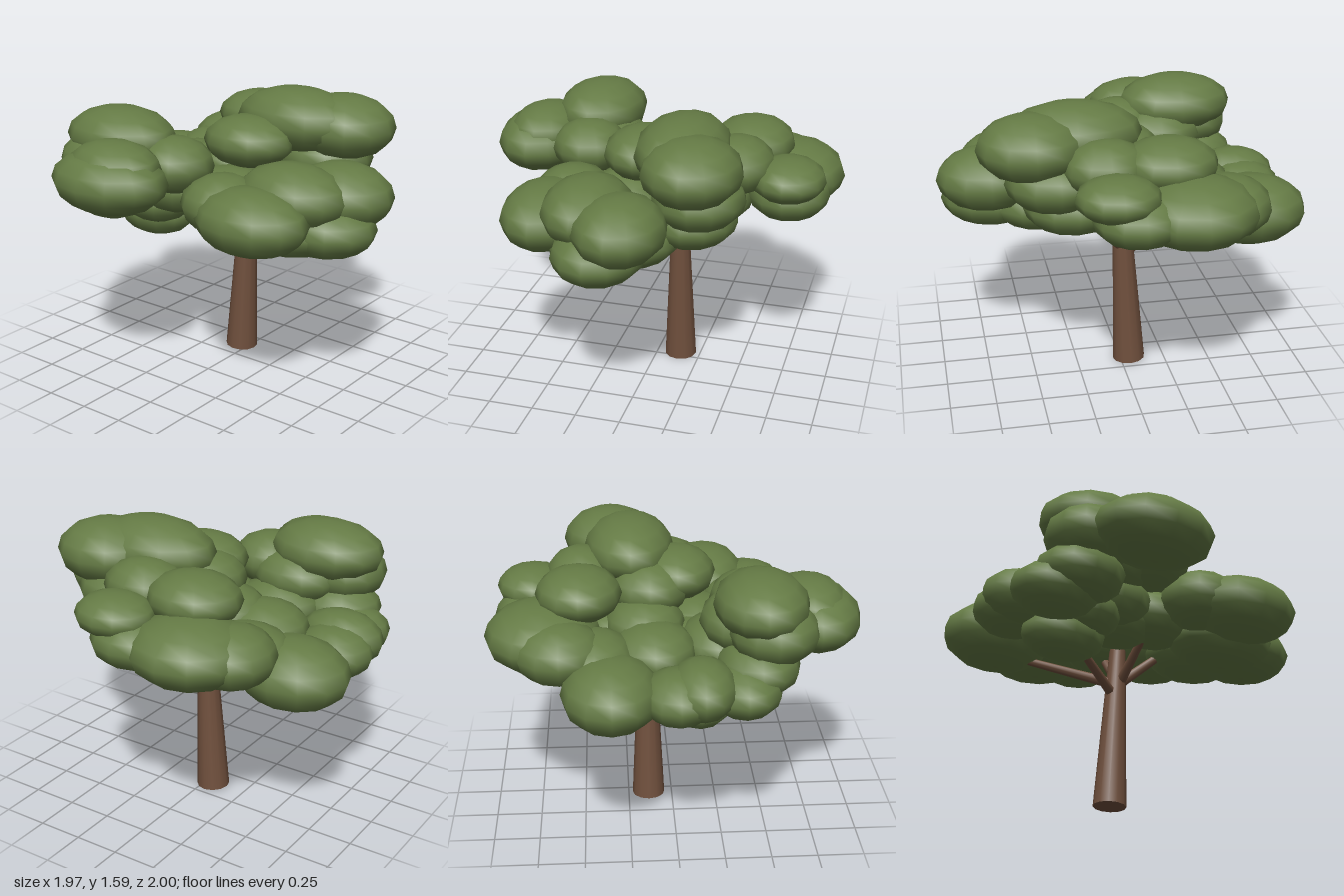
import * as THREE from 'three';

export function createModel() {
  const tree = new THREE.Group();
  tree.name = 'tree';

  const bark = new THREE.MeshStandardMaterial({ color: 0x70503d });
  bark.name = 'bark brown';
  const leaf = new THREE.MeshStandardMaterial({ color: 0x657b45 });
  leaf.name = 'leaf green';

  // Tapered round limb between two points
  const limb = (name, from, to, r0, r1, sides) => {
    const a = new THREE.Vector3(...from);
    const b = new THREE.Vector3(...to);
    const dir = b.clone().sub(a);
    const mesh = new THREE.Mesh(new THREE.CylinderGeometry(r1, r0, dir.length(), sides), bark);
    mesh.position.copy(a).add(b).multiplyScalar(0.5);
    mesh.quaternion.setFromUnitVectors(new THREE.Vector3(0, 1, 0), dir.normalize());
    mesh.name = name;
    tree.add(mesh);
  };

  // Leaning trunk
  limb('trunk', [-0.05, 0.005, -0.135], [-0.005, 0.95, -0.135], 0.092, 0.047, 12);

  // Branches fanning out into the crown
  const branches = [
    [[-0.04, 0.67, -0.13], [-0.46, 0.89, 0.12]],
    [[-0.02, 0.74, -0.14], [-0.55, 0.86, -0.32]],
    [[0.0, 0.74, -0.12], [0.02, 0.98, 0.2]],
    [[0.0, 0.72, -0.15], [0.24, 0.99, -0.36]],
    [[0.0, 0.74, -0.12], [0.28, 0.98, 0.02]],
    [[-0.01, 0.78, -0.15], [-0.05, 1.02, -0.3]],
  ];
  branches.forEach(([from, to]) => limb('branch', from, to, 0.03, 0.02, 8));

  // Crown clumps: centre x, y, z, then radii x, y, z
  const clumps = {
    highLeft: [
      [0.27, 1.415, -0.22, 0.37, 0.175, 0.25],
      [0.5, 1.39, -0.32, 0.29, 0.175, 0.265],
      [0.12, 1.32, 0.03, 0.26, 0.14, 0.22],
      [0.0, 1.27, -0.12, 0.22, 0.15, 0.22],
      [0.38, 1.2, -0.33, 0.27, 0.16, 0.25],
    ],
    frontRight: [
      [-0.43, 1.345, 0.44, 0.33, 0.165, 0.25],
      [-0.09, 1.24, 0.41, 0.22, 0.15, 0.21],
      [-0.25, 1.2, 0.74, 0.34, 0.17, 0.255],
      [-0.24, 1.27, 0.71, 0.27, 0.14, 0.21],
      [-0.5, 1.22, 0.5, 0.25, 0.165, 0.24],
      [-0.3, 1.2, 0.34, 0.26, 0.15, 0.21],
    ],
    right: [
      [-0.7, 1.0, 0.12, 0.24, 0.15, 0.18],
      [-0.72, 0.97, 0.0, 0.22, 0.14, 0.2],
      [-0.62, 0.96, 0.34, 0.25, 0.14, 0.2],
      [-0.52, 1.04, 0.42, 0.25, 0.15, 0.22],
      [-0.47, 0.83, 0.12, 0.24, 0.135, 0.18],
      [-0.38, 0.94, 0.2, 0.2, 0.13, 0.2],
      [-0.67, 0.97, -0.34, 0.31, 0.185, 0.26],
      [-0.36, 1.06, -0.11, 0.25, 0.15, 0.23],
      [-0.25, 1.05, 0.22, 0.25, 0.15, 0.2],
    ],
    back: [
      [-0.28, 1.13, -0.69, 0.33, 0.18, 0.31],
      [-0.47, 1.11, -0.6, 0.23, 0.16, 0.24],
      [0.13, 1.25, -0.75, 0.22, 0.115, 0.2],
      [0.02, 1.13, -0.74, 0.24, 0.14, 0.22],
      [-0.18, 1.32, -0.5, 0.26, 0.14, 0.23],
      [0.14, 1.31, -0.48, 0.23, 0.15, 0.2],
      [-0.45, 1.05, -0.42, 0.26, 0.16, 0.22],
    ],
    left: [
      [0.7, 1.12, 0.0, 0.285, 0.175, 0.245],
      [0.67, 0.97, 0.12, 0.29, 0.155, 0.25],
      [0.54, 1.14, 0.22, 0.31, 0.17, 0.24],
      [0.46, 1.05, 0.47, 0.32, 0.175, 0.245],
      [0.23, 1.08, 0.4, 0.23, 0.16, 0.22],
      [0.48, 0.96, 0.2, 0.33, 0.15, 0.25],
    ],
    // Low clumps closing the underside around the trunk top
    inner: [
      [0.28, 1.04, -0.27, 0.27, 0.15, 0.25],
      [0.41, 0.96, -0.01, 0.28, 0.145, 0.23],
      [0.08, 1.04, 0.14, 0.25, 0.15, 0.22],
      [-0.14, 1.0, 0.1, 0.25, 0.14, 0.2],
      [-0.02, 1.05, -0.31, 0.25, 0.15, 0.23],
      [-0.14, 1.12, -0.15, 0.24, 0.15, 0.22],
    ],
  };
  const blob = new THREE.SphereGeometry(1, 12, 8);
  for (const [side, list] of Object.entries(clumps)) {
    const group = new THREE.Group();
    group.name = side + 'Foliage';
    for (const [x, y, z, rx, ry, rz] of list) {
      const mesh = new THREE.Mesh(blob, leaf);
      mesh.name = 'leafClump';
      mesh.position.set(x, y, z);
      mesh.scale.set(rx, ry, rz);
      group.add(mesh);
    }
    tree.add(group);
  }
  return tree;
}
